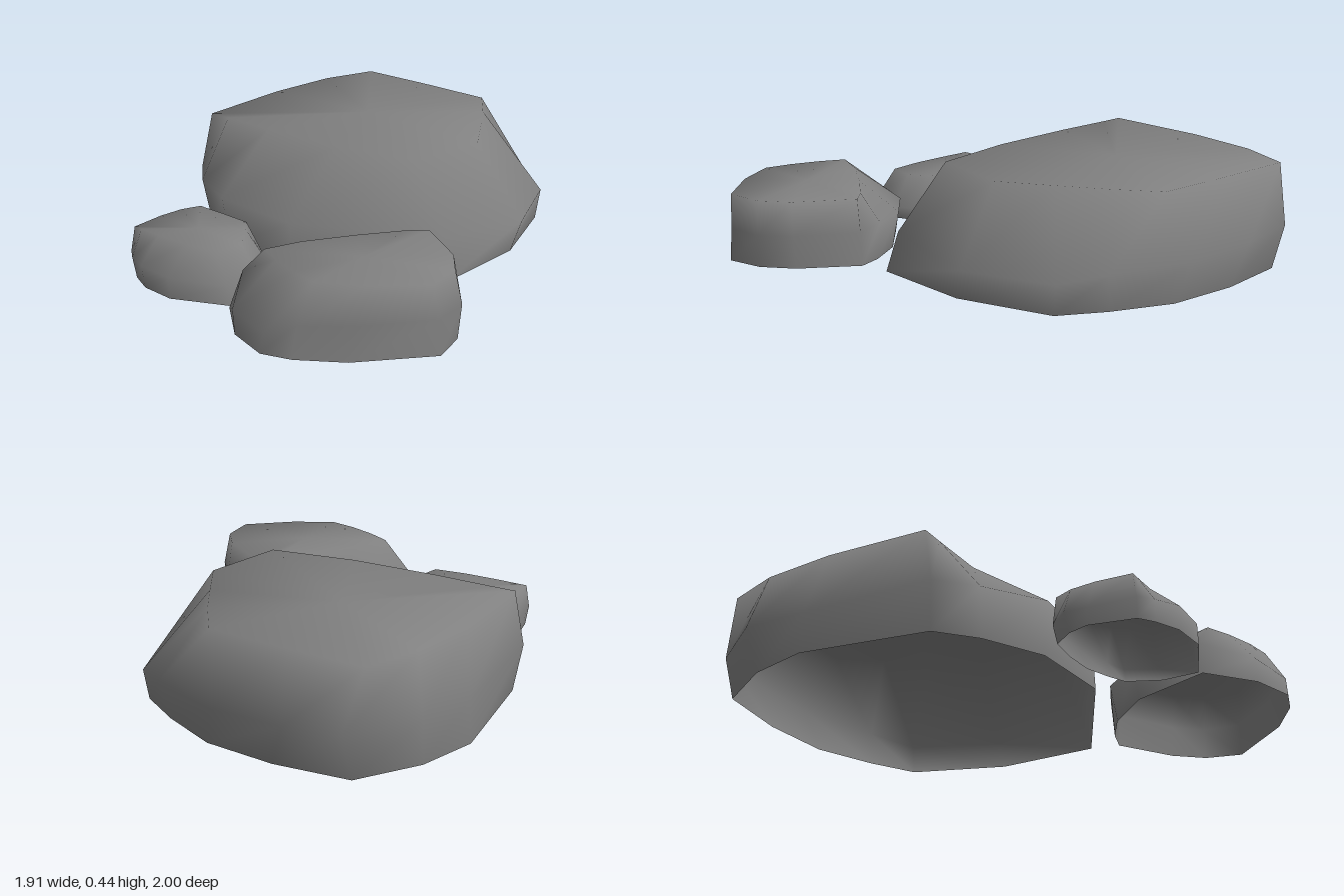
import * as THREE from 'three';

const material = new THREE.MeshStandardMaterial({ color: 0x808080, side: THREE.DoubleSide });

// Each row is one rib of a boulder: [baseX, baseZ, bellyX, bellyY, bellyZ, rimX, rimZ]
const broadRibs = [
  [-0.79, -0.88, -0.79, 0.20, -0.94, -0.83, -0.86],
  [-0.48, -0.95, -0.55, 0.18, -0.98, -0.50, -0.89],
  [-0.17, -0.96, -0.23, 0.17, -1.00, -0.15, -0.91],
  [0.09, -0.88, 0.12, 0.16, -0.91, 0.00, -0.75],
  [0.29, -0.79, 0.30, 0.13, -0.81, 0.13, -0.59],
  [0.47, -0.41, 0.49, 0.13, -0.46, 0.28, -0.40],
  [0.51, 0.03, 0.47, 0.17, 0.00, 0.26, -0.04],
  [-0.02, 0.39, -0.04, 0.20, 0.39, -0.10, 0.06],
  [-0.40, 0.40, -0.42, 0.22, 0.43, -0.48, 0.11],
  [-0.66, 0.29, -0.70, 0.20, 0.31, -0.73, 0.13],
  [-0.82, 0.17, -0.85, 0.20, 0.19, -0.83, 0.14],
  [-0.96, -0.36, -0.95, 0.18, -0.36, -0.89, -0.30],
  [-0.92, -0.62, -0.95, 0.20, -0.67, -0.89, -0.62],
];

const slantedRibs = [
  [0.55, 0.15, 0.55, 0.14, 0.16, 0.55, 0.18],
  [0.79, 0.28, 0.80, 0.14, 0.28, 0.79, 0.30],
  [0.90, 0.39, 0.91, 0.14, 0.38, 0.89, 0.40],
  [0.955, 0.54, 0.945, 0.14, 0.54, 0.93, 0.56],
  [0.76, 0.82, 0.76, 0.13, 0.78, 0.77, 0.74],
  [0.60, 0.95, 0.59, 0.12, 0.92, 0.61, 0.85],
  [0.48, 1.00, 0.49, 0.08, 0.99, 0.49, 0.84],
  [0.29, 0.96, 0.28, 0.10, 0.96, 0.36, 0.81],
  [0.09, 0.82, 0.13, 0.16, 0.78, 0.25, 0.77],
  [0.17, 0.48, 0.15, 0.15, 0.47, 0.29, 0.62],
  [0.31, 0.29, 0.29, 0.16, 0.27, 0.39, 0.42],
  [0.45, 0.19, 0.44, 0.16, 0.18, 0.49, 0.25],
];

// Hollow boulder: base, belly and rim rings joined by walls, with a flat cap
function boulder(name, ribs, height) {
  const n = ribs.length;
  const positions = [];
  const index = [];
  for (const [bx, bz] of ribs) positions.push(bx, 0, bz);
  for (const [, , mx, my, mz] of ribs) positions.push(mx, my, mz);
  for (const [, , , , , tx, tz] of ribs) positions.push(tx, height, tz);

  // Cap centre
  const cx = ribs.reduce((sum, r) => sum + r[5], 0) / n;
  const cz = ribs.reduce((sum, r) => sum + r[6], 0) / n;
  positions.push(cx, height, cz);

  for (let i = 0; i < n; i++) {
    const j = (i + 1) % n;
    for (const ring of [0, n]) {
      const a = ring + i, b = ring + j;
      index.push(b, a, a + n, b, a + n, b + n);
    }
    index.push(3 * n, 2 * n + j, 2 * n + i);
  }

  const geometry = new THREE.BufferGeometry();
  geometry.setAttribute('position', new THREE.Float32BufferAttribute(positions, 3));
  geometry.setIndex(index);
  geometry.computeVertexNormals();
  const mesh = new THREE.Mesh(geometry, material);
  mesh.name = name;
  return mesh;
}

export function createModel() {
  const group = new THREE.Group();
  group.name = 'boulders';

  const large = boulder('largeBoulder', broadRibs, 0.44);
  const medium = boulder('mediumBoulder', slantedRibs, 0.28);

  // The small boulder is a squashed copy of the large one
  const small = boulder('smallBoulder', broadRibs, 0.44);
  small.scale.set(0.41, 0.43, 0.343);
  small.position.set(-0.133, 0, 0.798);

  group.add(large, medium, small);
  return group;
}
